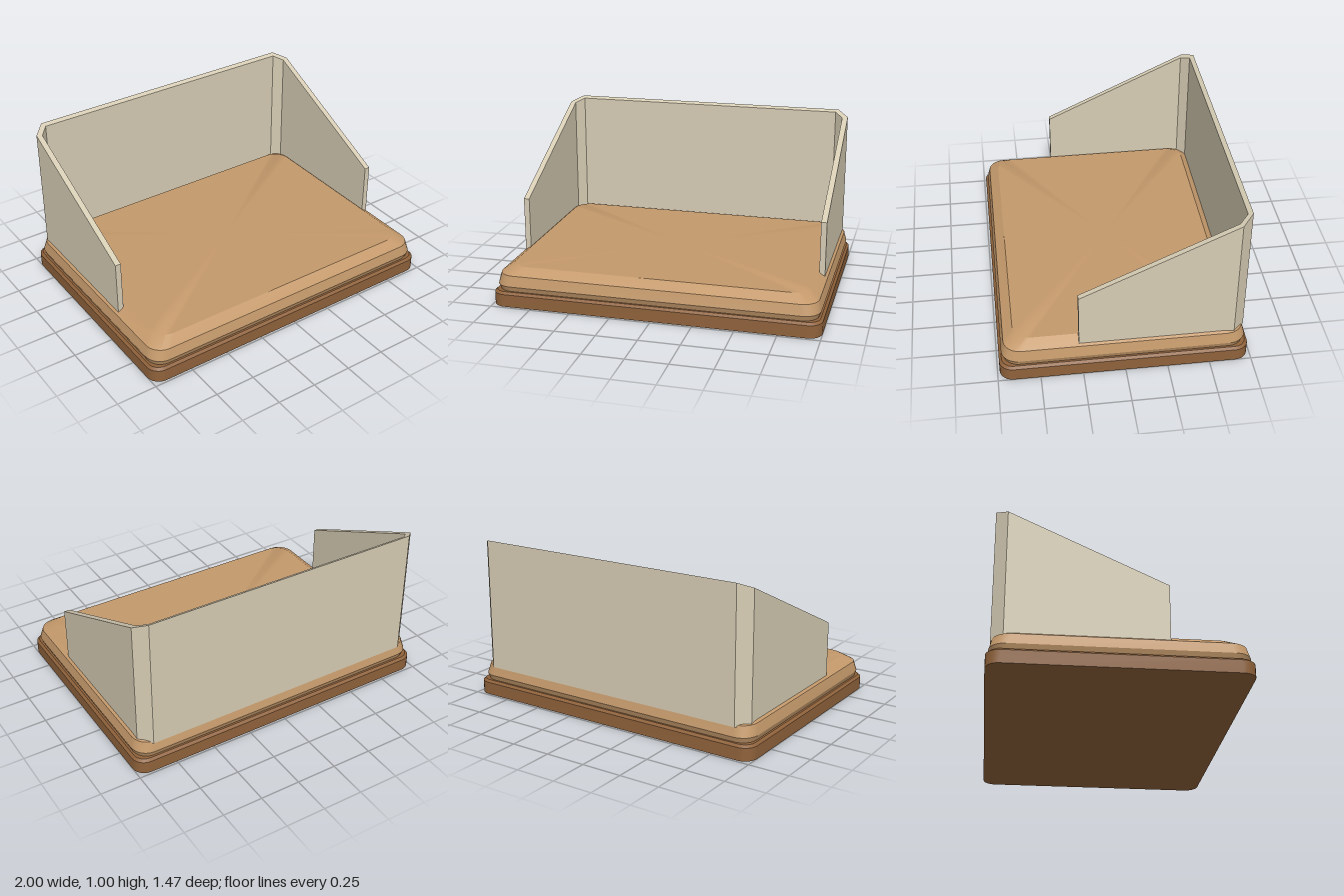
import * as THREE from 'three';
import { toCreasedNormals } from 'three/addons/utils/BufferGeometryUtils.js';

const CORNER_STEPS = 6;

// Rounded rectangle in the ground plane: half width, half depth, corner radius, height
function ring([hw, hd, r, y]) {
  const pts = [];
  [[1, 1], [-1, 1], [-1, -1], [1, -1]].forEach(([sx, sz], q) => {
    for (let i = 0; i <= CORNER_STEPS; i++) {
      const a = (q + i / CORNER_STEPS) * Math.PI / 2;
      pts.push([sx * (hw - r) + r * Math.cos(a), y, sz * (hd - r) + r * Math.sin(a)]);
    }
  });
  return pts;
}

// Closed solid skinned through stacked rings, from bottom to top
function loft(sections) {
  const rings = sections.map(ring);
  const n = rings[0].length;
  const pos = [];
  const tri = (a, b, c) => pos.push(...a, ...b, ...c);
  const last = rings.length - 1;
  const bottom = [0, sections[0][3], 0];
  const top = [0, sections[last][3], 0];
  for (let i = 0; i < n; i++) {
    const j = (i + 1) % n;
    for (let k = 0; k < last; k++) {
      tri(rings[k][i], rings[k + 1][i], rings[k][j]);
      tri(rings[k][j], rings[k + 1][i], rings[k + 1][j]);
    }
    tri(bottom, rings[0][i], rings[0][j]);
    tri(top, rings[last][j], rings[last][i]);
  }
  const g = new THREE.BufferGeometry();
  g.setAttribute('position', new THREE.Float32BufferAttribute(pos, 3));
  return toCreasedNormals(g, 0.5);
}

// Three-sided wall with chamfered back corners and a top that slopes to the front
function wallGeometry() {
  const outer = [[0.955, 0.27], [0.955, -0.645], [0.885, -0.714]];
  const inner = [[0.87, -0.687], [0.92, -0.635], [0.92, 0.27]];
  const mirror = (half) => half.map(([x, z]) => [-x, z]).reverse();
  const outline = [...outer, ...mirror(outer), ...mirror(inner), ...inner];
  const shape = new THREE.Shape(outline.map(([x, z]) => new THREE.Vector2(x, -z)));
  const g = new THREE.ExtrudeGeometry(shape, { depth: 1, bevelEnabled: false });
  g.rotateX(-Math.PI / 2);
  const p = g.attributes.position;
  for (let i = 0; i < p.count; i++) {
    const slope = 0.54 + (0.27 - p.getZ(i)) * 0.4675;
    p.setY(i, p.getY(i) > 0.5 ? slope : 0.18);
  }
  g.computeVertexNormals();
  return g;
}

export function createModel() {
  const darkWood = new THREE.MeshStandardMaterial({ color: 0x8f623b });
  darkWood.name = 'dark wood';
  const lightWood = new THREE.MeshStandardMaterial({ color: 0xc4996b });
  lightWood.name = 'light wood';
  const cream = new THREE.MeshStandardMaterial({ color: 0xd6ccb4 });
  cream.name = 'cream panel';

  const model = new THREE.Group();
  model.name = 'walledPlatform';
  const add = (name, geometry, material) => {
    const mesh = new THREE.Mesh(geometry, material);
    mesh.name = name;
    model.add(mesh);
  };

  // Plinth with a small chamfer on its upper edge
  add('plinth', loft([
    [1, 0.737, 0.08, 0],
    [1, 0.737, 0.08, 0.078],
    [0.985, 0.722, 0.07, 0.092],
  ]), darkWood);

  // Moulded platform: undercut foot, widest band, sloping shoulder, flat top
  add('platform', loft([
    [0.972, 0.709, 0.09, 0.09],
    [0.985, 0.722, 0.1, 0.125],
    [0.97, 0.706, 0.1, 0.19],
    [0.907, 0.647, 0.1, 0.234],
  ]), lightWood);

  add('wall', wallGeometry(), cream);

  return model;
}
